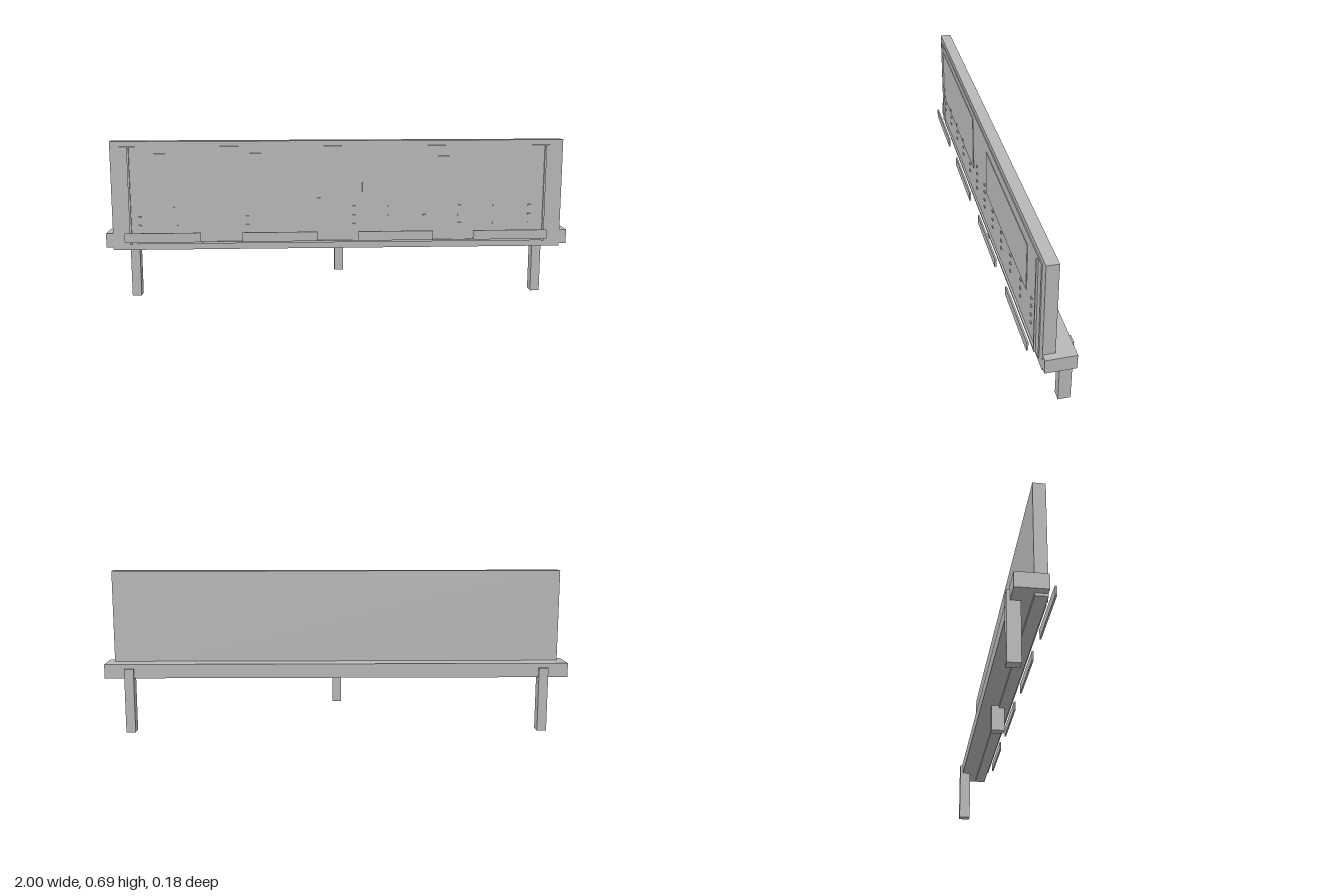
import * as THREE from 'three';

export function createModel() {
  const model = new THREE.Group();
  const grey = new THREE.MeshStandardMaterial({ color: 0xb8b8b8 });
  grey.name = 'plain grey';

  // Box given by its limits on each axis
  function box(name, x0, x1, y0, y1, z0, z1) {
    const mesh = new THREE.Mesh(new THREE.BoxGeometry(x1 - x0, y1 - y0, z1 - z0), grey);
    mesh.position.set((x0 + x1) / 2, (y0 + y1) / 2, (z0 + z1) / 2);
    mesh.name = name;
    model.add(mesh);
  }

  // Upright panel standing on a long beam
  box('mainPanel', -0.97, 0.97, 0.225, 0.692, 0, 0.048);
  box('baseBeam', -1, 1, 0.236, 0.297, -0.075, 0.0478);

  // Rear legs and the short middle post
  for (const x of [-0.893, 0.893]) box('leg', x - 0.02, x + 0.02, 0, 0.278, -0.088, -0.037);
  box('middlePost', -0.019, 0.019, 0.122, 0.24, -0.031, 0.024);

  // Thin facing board with side bars and a lower rail
  box('facingBoard', -0.93, 0.93, 0.247, 0.67, 0.047, 0.052);
  for (const x of [-0.893, 0.893]) box('sideBar', x - 0.004, x + 0.004, 0.25, 0.665, 0.053, 0.06);
  box('lowerRail', -0.865, 0.889, 0.252, 0.26, 0.052, 0.06);

  // Two thin display sheets
  box('leftSheet', -0.88, -0.165, 0.39, 0.64, 0.051, 0.0545);
  box('rightSheet', 0.1, 0.757, 0.425, 0.625, 0.051, 0.0545);

  // Rows of small pegs; some columns are shorter
  const rows = [0.331, 0.368, 0.408, 0.444];
  const counts = [4, 3, 3, 3, 2, 4, 4, 3, 3, 3, 3, 4];
  counts.forEach((count, i) => {
    const x = -0.853 + i * 0.153;
    for (const y of rows.slice(0, count)) box('peg', x - 0.007, x + 0.007, y - 0.003, y + 0.003, 0.051, 0.057);
  });

  // Four slats held in front of the panel
  for (const x of [-0.753, -0.255, 0.243, 0.741]) box('frontSlat', x - 0.161, x + 0.161, 0.264, 0.304, 0.081, 0.088);

  return model;
}
